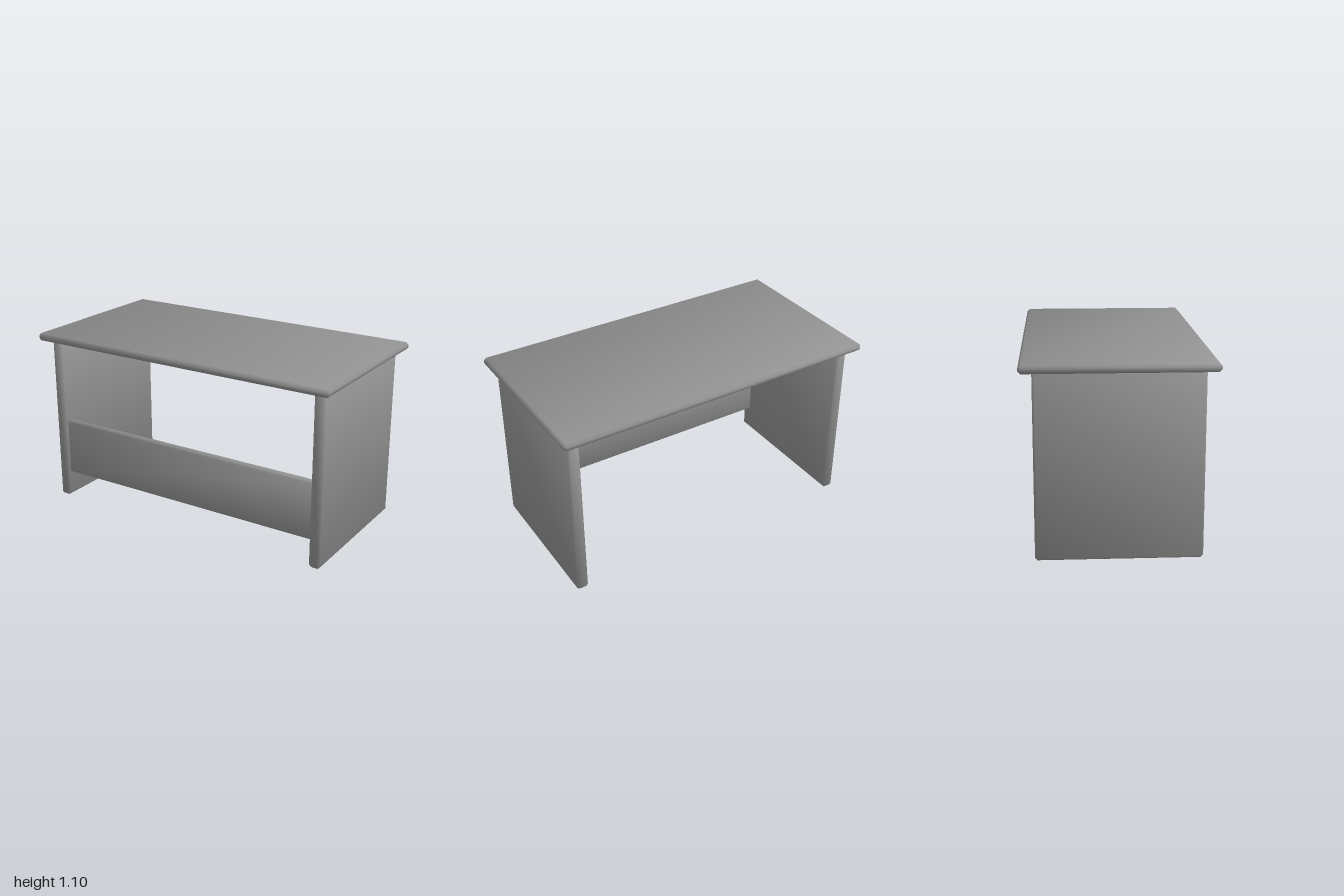
import * as THREE from 'three';
import { ConvexGeometry } from 'three/addons/geometries/ConvexGeometry.js';

const material = new THREE.MeshStandardMaterial({ color: 0x929292 });

// Board with one chamfer along every edge and soft, shared corner normals
function board(name, w, h, d, c, x, y, z) {
  const half = [w / 2, h / 2, d / 2];
  const points = [];
  for (const sx of [-1, 1]) for (const sy of [-1, 1]) for (const sz of [-1, 1]) {
    const s = [sx, sy, sz];
    for (let axis = 0; axis < 3; axis++) {
      const p = half.map((v, i) => s[i] * (i === axis ? v : v - c));
      points.push(new THREE.Vector3(...p));
    }
  }
  const geometry = new ConvexGeometry(points);
  const pos = geometry.attributes.position;
  const n = new THREE.Vector3();
  for (let i = 0; i < pos.count; i++) {
    // lean each normal from its main face towards the two neighbouring chamfers
    const p = [pos.getX(i), pos.getY(i), pos.getZ(i)];
    n.set(...p.map((v, k) => Math.sign(v) * (half[k] - Math.abs(v) < c / 2 ? 3 : 1.2))).normalize();
    geometry.attributes.normal.setXYZ(i, n.x, n.y, n.z);
  }
  const mesh = new THREE.Mesh(geometry, material);
  mesh.name = name;
  mesh.position.set(x, y, z);
  return mesh;
}

export function createModel() {
  const desk = new THREE.Group();
  desk.name = 'desk';

  // Overhanging top
  desk.add(board('deskTop', 2, 0.046, 1.064, 0.015, 0, 1.074, 0));

  // Two full-depth side panels
  for (const side of [1, -1]) {
    desk.add(board(side > 0 ? 'leftSidePanel' : 'rightSidePanel',
      0.07, 1.054, 0.924, 0.014, side * 0.915, 0.527, 0));
  }

  // Modesty panel close to the front, let into the sides
  desk.add(board('modestyPanel', 1.82, 0.36, 0.046, 0.013, 0, 0.337, 0.412));

  return desk;
}
